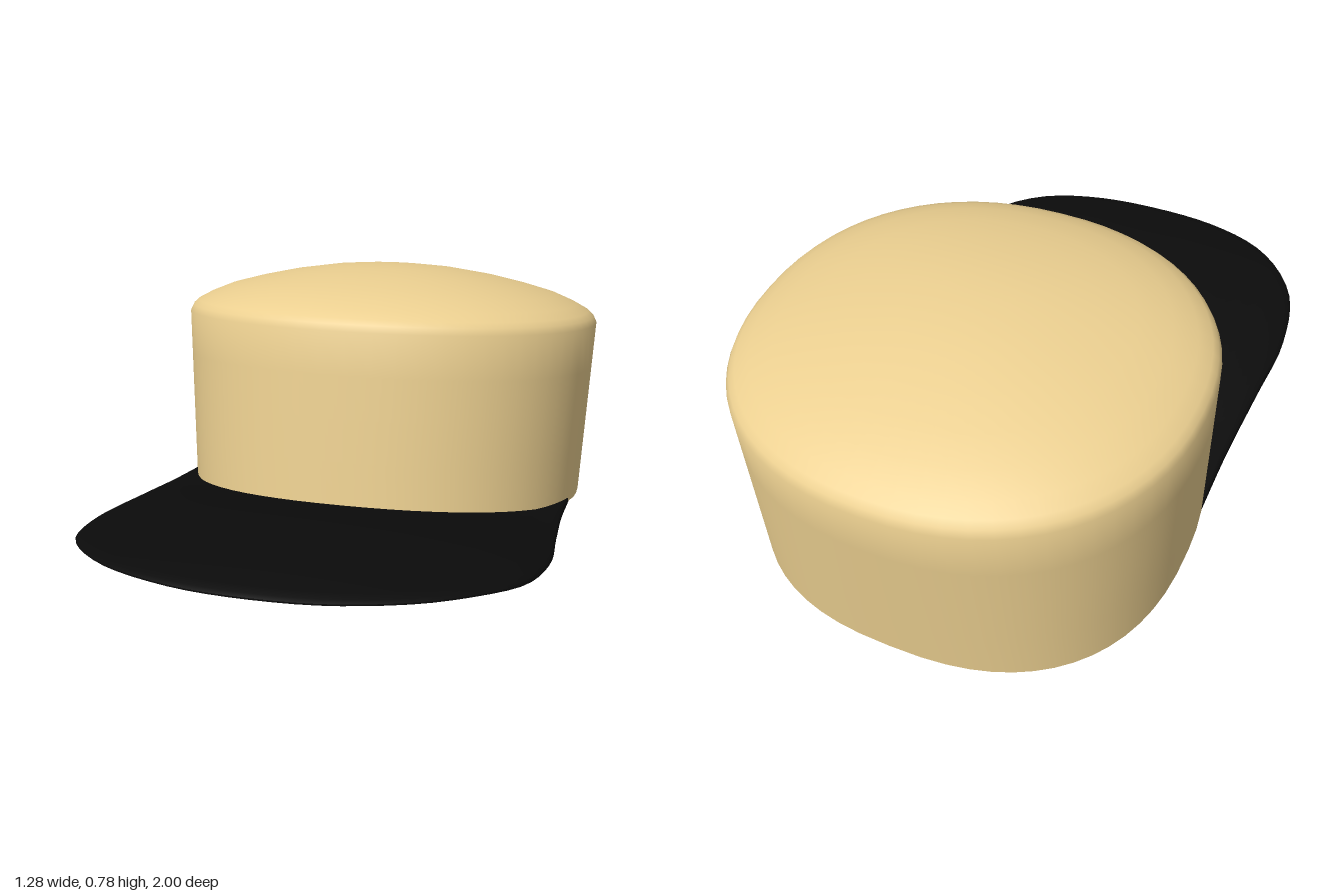
import * as THREE from 'three';
import { toCreasedNormals } from 'three/addons/utils/BufferGeometryUtils.js';

// Skin a list of closed rings (arrays of Vector3 of equal length)
function loft(rings) {
  const n = rings[0].length, index = [];
  for (let i = 0; i < rings.length - 1; i++) {
    for (let j = 0; j < n; j++) {
      const a = i * n + j, b = i * n + (j + 1) % n;
      index.push(a, b, a + n, b, b + n, a + n);
    }
  }
  const geo = new THREE.BufferGeometry().setFromPoints(rings.flat());
  geo.setIndex(index);
  return toCreasedNormals(geo, 1.0);
}

// Plan outline of the crown: a rounded oval, squarer towards the back
function oval(angle, halfWidth, halfDepth, backPower) {
  const s = Math.sin(angle), c = Math.cos(angle);
  const p = 2 / (c > 0 ? 2.2 : backPower);
  return [Math.sign(s) * halfWidth * Math.abs(s) ** p, Math.sign(c) * halfDepth * Math.abs(c) ** p];
}

const SEGMENTS = 64;
const angles = Array.from({ length: SEGMENTS }, (_, j) => j / SEGMENTS * Math.PI * 2);

// Wall ring: k = 0 at the opening, 1 at the shoulder
function wallRing(k, inset) {
  return angles.map((a) => {
    const [bx, bz] = oval(a, 0.612 - inset, 0.58 - inset, 2.45);
    const [tx, tz] = oval(a, 0.64 - inset, 0.585 - inset, 2.2);
    const t = (bz + 0.58) / 1.16;
    const low = new THREE.Vector3(bx, 0.19 * t - 0.08 * t * (1 - t), bz - 0.352);
    const high = new THREE.Vector3(tx, 0.61 + 0.12 * tz, tz - 0.415);
    return low.lerp(high, k);
  });
}

// Dome ring: the shoulder outline scaled by s and raised by h
function domeRing(s, h, inset) {
  return angles.map((a) => {
    const [x, z] = oval(a, 0.64 - inset, 0.585 - inset, 2.2);
    return new THREE.Vector3(x * s, 0.61 + 0.12 * z * s + h - inset, z * s - 0.415);
  });
}

function crownShell(inset) {
  const dome = [[0.985, 0.02], [0.96, 0.035], [0.9, 0.056], [0.8, 0.083], [0.66, 0.108],
    [0.5, 0.131], [0.3, 0.151], [0.15, 0.159], [0.001, 0.162]];
  return [
    ...[0, 0.25, 0.5, 0.75, 1].map((k) => wallRing(k, inset)),
    ...dome.map(([s, h]) => domeRing(s, h, inset)),
  ];
}

// Smooth curve through [x, z] points of one side, mirrored to run from -x to +x
function mirroredCurve(half) {
  const left = half.map(([x, z]) => new THREE.Vector3(x, 0, z));
  const right = half.slice(0, -1).map(([x, z]) => new THREE.Vector3(-x, 0, z));
  return new THREE.CatmullRomCurve3([...right, ...left.reverse()]);
}

function brimGeometry() {
  const inner = mirroredCurve([[0.57, -0.28], [0.54, -0.18], [0.4, 0.04], [0.2, 0.165], [0, 0.195]]);
  const outer = mirroredCurve([[0.6, -0.28], [0.6, 0], [0.61, 0.25], [0.618, 0.5], [0.57, 0.72],
    [0.42, 0.89], [0.22, 0.973], [0, 0.995]]);
  // Position across the brim and half thickness there
  const across = [[0, 0.006], [0.03, 0.011], [0.2, 0.011], [0.4, 0.011], [0.6, 0.011],
    [0.8, 0.011], [0.95, 0.01], [0.985, 0.007], [1, 0.002]];
  const height = (x, z) => {
    const arch = 0.037 * Math.max(0, 1 - ((z - 0.55) / 0.5) ** 2);
    const droop = 0.2 * Math.max(0, z - 0.75) ** 2;
    return 0.091 + 0.13 * (z + 0.28) + arch * (1 - (x / 0.62) ** 2) - droop;
  };
  const rings = [];
  for (let i = 0; i <= 64; i++) {
    const a = inner.getPointAt(i / 64), b = outer.getPointAt(i / 64);
    const side = (sign) => across.map(([r, t]) => {
      const p = a.clone().lerp(b, r);
      p.y = height(p.x, p.z) + sign * t;
      return p;
    });
    rings.push([...side(1), ...side(-1).reverse()]);
  }
  // Close both tips
  const cap = (ring) => {
    const c = ring.reduce((sum, p) => sum.add(p), new THREE.Vector3()).divideScalar(ring.length);
    return ring.map(() => c.clone());
  };
  return loft([cap(rings[0]), ...rings, cap(rings[rings.length - 1])]);
}

export function createModel() {
  const group = new THREE.Group();
  group.name = 'cap';

  // Crown: lining from the top down, then the outside from the opening up
  const crown = new THREE.Mesh(
    loft([...crownShell(0.012).reverse(), ...crownShell(0)]),
    new THREE.MeshStandardMaterial({ color: 0xebcf90 }),
  );
  crown.name = 'crown';

  // Brim: thin arched visor tucked under the front of the crown
  const brim = new THREE.Mesh(brimGeometry(), new THREE.MeshStandardMaterial({ color: 0x0b0b0b }));
  brim.name = 'brim';

  group.add(crown, brim);
  return group;
}
